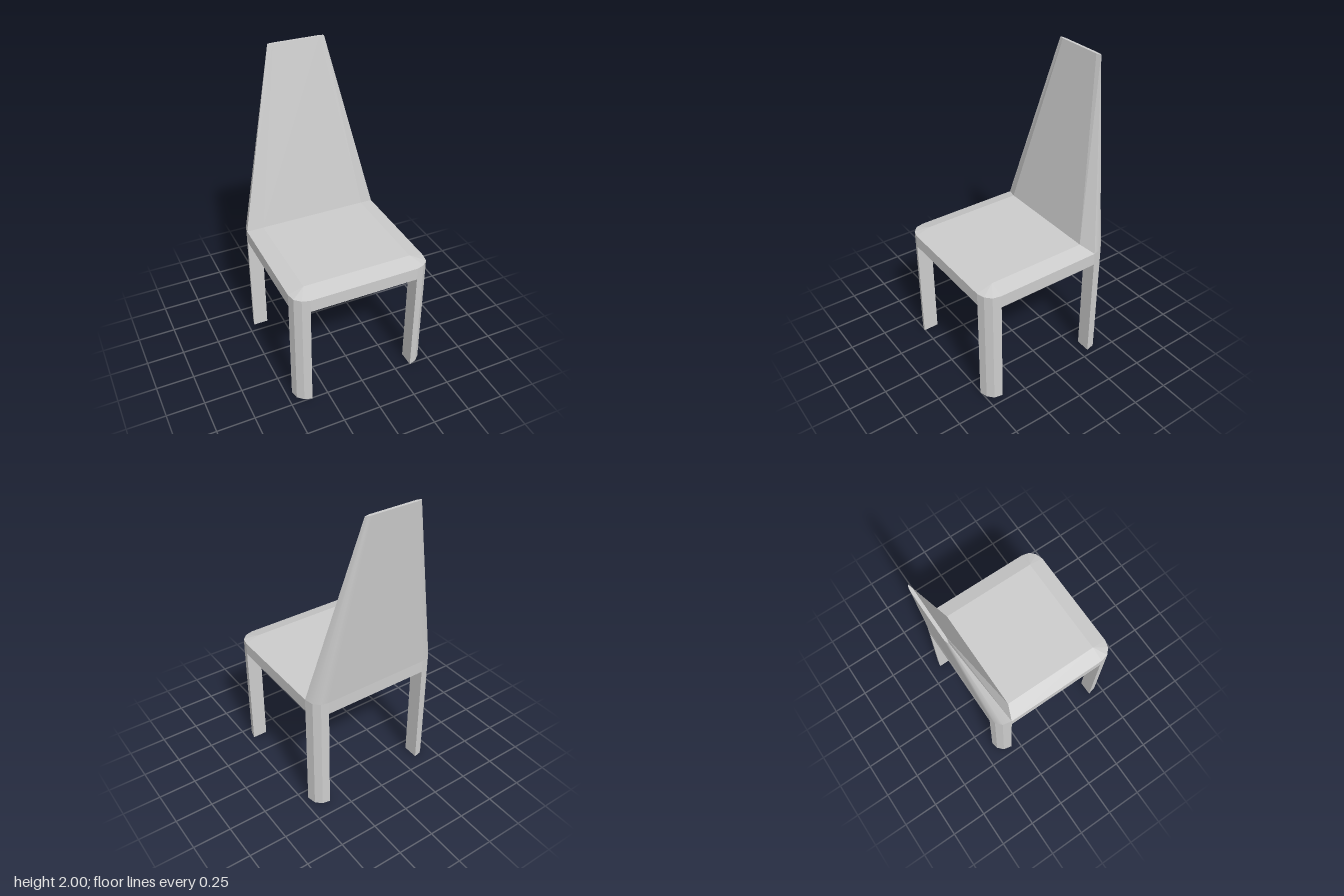
import * as THREE from 'three';

const flat = new THREE.MeshStandardMaterial({ color: 0xcccccc, flatShading: true, side: THREE.DoubleSide });
const smooth = new THREE.MeshStandardMaterial({ color: 0xcccccc, side: THREE.DoubleSide });

// Skin between a lower and an upper row of [x, y, z] points
function loft(lower, upper, { closed = false, rounded = false } = {}) {
  const n = lower.length;
  const index = [];
  for (let i = 0; i < (closed ? n : n - 1); i++) {
    const j = (i + 1) % n;
    index.push(i, j, n + j, i, n + j, n + i);
  }
  let geo = new THREE.BufferGeometry();
  geo.setAttribute('position', new THREE.Float32BufferAttribute([...lower, ...upper].flat(), 3));
  geo.setIndex(index);
  if (!rounded) geo = geo.toNonIndexed();
  geo.computeVertexNormals();
  return geo;
}

const atHeight = (points, y) => points.map(([x, z]) => [x, y, z]);
// Mirror across x, reversed so that faces keep pointing outwards
const mirror = (points) => points.map(([x, ...rest]) => [-x, ...rest]).reverse();

// Rounded corners in plan (x, z) on the +x side, running from front to back
const frontCorner = [[0.36, 0.505], [0.41, 0.49], [0.448, 0.455], [0.46, 0.4]];
const backCorner = [[0.46, -0.31], [0.447, -0.37], [0.41, -0.405], [0.36, -0.415]];
const SEAT_BOTTOM = 0.735, RIM = 0.82, SEAT_TOP = 0.85, BACK_TOP = 2;

export function createModel() {
  const group = new THREE.Group();
  const add = (name, geo, material = flat) => {
    const mesh = new THREE.Mesh(geo, material);
    mesh.name = name;
    group.add(mesh);
  };

  // Legs, hollow at the foot
  const legs = {
    front: [[0.36, 0.4], ...frontCorner],
    back: [...backCorner, [0.36, -0.31]],
  };
  for (const [place, plan] of Object.entries(legs)) {
    for (const [side, points] of [['Left', plan], ['Right', mirror(plan)]]) {
      add(`${place}${side}Leg`, loft(atHeight(points, 0), atHeight(points, SEAT_BOTTOM), { closed: true }));
    }
  }

  // Seat side wall
  const half = [...frontCorner, ...backCorner];
  const outline = [...half, ...mirror(half)];
  add('seatApron', loft(atHeight(outline, SEAT_BOTTOM), atHeight(outline, RIM), { closed: true }));

  // Seat underside between the legs
  const quarter = [[0.36, 0.505], [0.36, 0.4], [0.46, 0.4], [0.46, -0.31], [0.36, -0.31], [0.36, -0.415]];
  const plan = [...quarter, ...mirror(quarter)].map(([x, z]) => new THREE.Vector2(x, z));
  const underside = new THREE.ShapeGeometry(new THREE.Shape(plan));
  underside.rotateX(Math.PI / 2).translate(0, SEAT_BOTTOM, 0);
  add('seatUnderside', underside);

  // Sloping seat border and flat seat panel
  const rightRim = [...frontCorner, backCorner[0]];
  const rim = [...mirror(rightRim), ...rightRim];
  const inset = rim.map(([x, z]) => [Math.sign(x) * 0.36, z > 0 ? 0.4 : -0.27]);
  add('seatBorder', loft(atHeight(rim, RIM), atHeight(inset, SEAT_TOP)));
  add('seatPanel', loft(
    [[-0.36, SEAT_TOP, 0.4], [0.36, SEAT_TOP, 0.4]],
    [[-0.36, SEAT_TOP, -0.27], [0.36, SEAT_TOP, -0.27]],
  ));

  // Tapered backrest: faceted front, rounded rear, thin top edge
  const frontLow = [[0.36, SEAT_TOP, -0.27], [0.46, RIM, -0.31]];
  const frontHigh = [[0.155, BACK_TOP, -0.49], [0.188, BACK_TOP, -0.497]];
  const rearLow = atHeight(backCorner, RIM);
  const rearHigh = atHeight([[0.188, -0.497], [0.184, -0.502], [0.17, -0.507], [0.15, -0.509]], BACK_TOP);
  const bothSides = (points) => [...mirror(points), ...points];
  const around = (points) => [...points, ...mirror(points)];
  add('backrestFront', loft(bothSides(frontLow), bothSides(frontHigh)));
  add('backrestRear', loft(around(rearLow), around(rearHigh), { rounded: true }), smooth);
  const topRing = around([frontHigh[0], ...rearHigh]);
  add('backrestTop', loft(topRing, topRing.map(() => [0, BACK_TOP, -0.5]), { closed: true }));

  return group;
}
